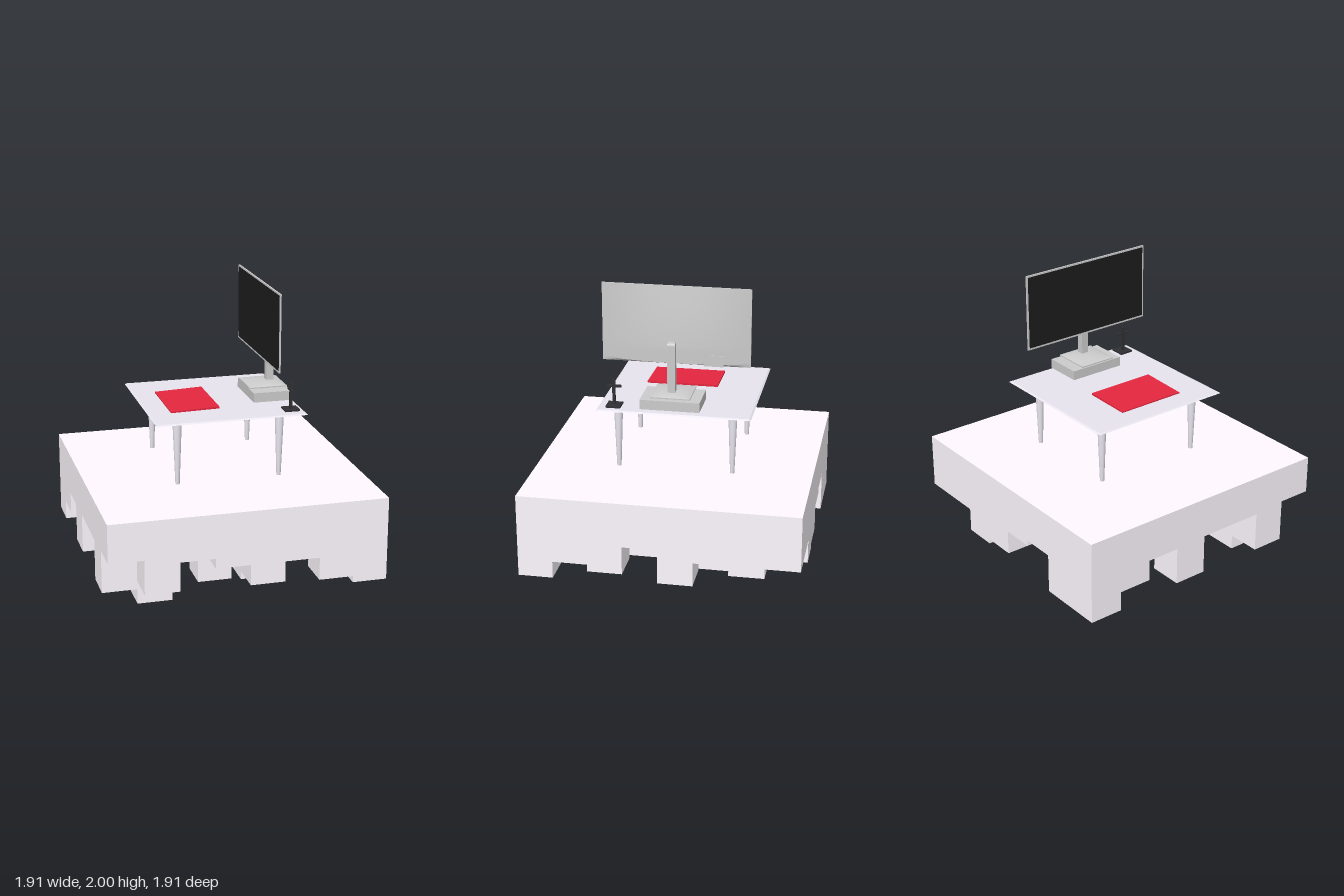
import * as THREE from 'three';
import { mergeVertices, toCreasedNormals } from 'three/addons/utils/BufferGeometryUtils.js';

const mat = (color) => new THREE.MeshStandardMaterial({ color });
const stoneMat = mat(0xfff9ff), tableMat = mat(0xe7e4ee), greyMat = mat(0xcccccc);
const redMat = mat(0xe4263e), screenMat = mat(0x1c1c1c), blackMat = mat(0x303034);

// Underside heights of the platform: one row per z, front to back, x left to right
const UNDERSIDE = [
  [.41, .165, .37, .30, .155, .30, .14, .095],
  [.105, 0, .38, .33, .097, .35, .25, .215],
  [.39, .30, .38, 0, .30, .34, .33, .165],
  [.39, .20, .38, .30, .10, .31, .19, .365],
  [.11, .35, .155, .08, .35, .36, .30, .12],
  [.38, .20, .30, .35, .20, .38, .13, .29],
  [.23, .30, .20, .25, .35, .05, .24, .22],
  [.09, .09, .37, .33, .155, .12, .29, .29],
];
const HALF = 0.957, CELL = HALF / 4, TOP = 0.68;

function add(parent, name, geometry, material, x = 0, y = 0, z = 0) {
  const mesh = new THREE.Mesh(geometry, material);
  mesh.name = name;
  mesh.position.set(x, y, z);
  parent.add(mesh);
  return mesh;
}

// Box given by its extents
function box(parent, name, material, x0, x1, y0, y1, z0, z1) {
  return add(parent, name, new THREE.BoxGeometry(x1 - x0, y1 - y0, z1 - z0), material,
    (x0 + x1) / 2, (y0 + y1) / 2, (z0 + z1) / 2);
}

// Platform skin: flat top, stepped blocks below, walls only where a step is exposed
function platformGeometry() {
  const pos = [];
  const quad = (a, b, c, d) => pos.push(...a, ...b, ...c, ...a, ...c, ...d);
  const h = (c, r) => UNDERSIDE[r]?.[c] ?? TOP;
  quad([-HALF, TOP, HALF], [HALF, TOP, HALF], [HALF, TOP, -HALF], [-HALF, TOP, -HALF]);
  for (let r = 0; r < 8; r++) {
    for (let c = 0; c < 8; c++) {
      const x0 = -HALF + c * CELL, x1 = x0 + CELL;
      const z1 = HALF - r * CELL, z0 = z1 - CELL, y = h(c, r);
      quad([x0, y, z0], [x1, y, z0], [x1, y, z1], [x0, y, z1]);
      const wall = (top, ax, az, bx, bz) => {
        if (top > y) quad([ax, y, az], [bx, y, bz], [bx, top, bz], [ax, top, az]);
      };
      wall(h(c, r - 1), x0, z1, x1, z1);
      wall(h(c + 1, r), x1, z1, x1, z0);
      wall(h(c, r + 1), x1, z0, x0, z0);
      wall(h(c - 1, r), x0, z0, x0, z1);
    }
  }
  const g = new THREE.BufferGeometry();
  g.setAttribute('position', new THREE.Float32BufferAttribute(pos, 3));
  g.computeVertexNormals();
  return g;
}

// Table top with a chamfered upper edge
function tableTopGeometry(width, height, depth, inset) {
  const g = new THREE.BoxGeometry(width, height, depth).toNonIndexed();
  const p = g.attributes.position;
  for (let i = 0; i < p.count; i++) {
    if (p.getY(i) < 0) continue;
    p.setX(i, p.getX(i) - Math.sign(p.getX(i)) * inset);
    p.setZ(i, p.getZ(i) - Math.sign(p.getZ(i)) * inset);
  }
  g.computeVertexNormals();
  return g;
}

// Tapered leg shaded smoothly over its ends
function legGeometry() {
  const g = new THREE.CylinderGeometry(.032, .015, .456, 24);
  g.deleteAttribute('normal');
  g.deleteAttribute('uv');
  const smooth = mergeVertices(g);
  smooth.computeVertexNormals();
  return smooth;
}

// Rear shell of the monitor: deepest low in the middle, with a sharp lower lip
function monitorBackGeometry(x, y0, y1, zc, width, depth) {
  const g = new THREE.PlaneGeometry(width, y1 - y0, 32, 32);
  g.rotateY(Math.PI / 2);
  g.translate(x, (y0 + y1) / 2, zc);
  const p = g.attributes.position;
  for (let i = 0; i < p.count; i++) {
    const across = Math.cos((p.getZ(i) - zc) / width * Math.PI);
    const t = (p.getY(i) - y0) / (y1 - y0);
    const up = t < 0.01 ? 0 : Math.min(1, 1.06 * Math.sin((1 - t) * Math.PI / 2));
    p.setX(i, x + depth * across * up);
  }
  return toCreasedNormals(g, 0.6);
}

// Gently domed upper side of the stand foot
function footDomeGeometry(width, depth, height) {
  const g = new THREE.PlaneGeometry(width, depth, 16, 16);
  g.rotateX(-Math.PI / 2);
  const p = g.attributes.position;
  const arch = (t) => Math.max(0, 1 - t * t) ** 0.7;
  for (let i = 0; i < p.count; i++)
    p.setY(i, height * arch(2 * p.getX(i) / width) * arch(2 * p.getZ(i) / depth));
  g.computeVertexNormals();
  return g;
}

function buildTable() {
  const table = new THREE.Group();
  table.name = 'table';
  add(table, 'tableTop', tableTopGeometry(1.055, .008, 1.054, .012), tableMat, .004, 1.159, -.027);
  for (const x of [-.356, .363])
    for (const z of [-.41, .38])
      add(table, 'tableLeg', legGeometry(), tableMat, x, .928, z);
  return table;
}

function buildMonitor() {
  const monitor = new THREE.Group();
  monitor.name = 'monitor';
  box(monitor, 'monitorFrame', greyMat, .324, .334, 1.458, 2, -.522, .488);
  box(monitor, 'screen', screenMat, .322, .325, 1.472, 1.988, -.51, .476);
  add(monitor, 'monitorBack', monitorBackGeometry(.334, 1.458, 2, -.017, 1.01, .046), greyMat);
  box(monitor, 'portHousing', greyMat, .335, .37, 1.463, 1.54, -.342, -.212);

  // Post with a rounded top corner
  const s = new THREE.Shape();
  s.moveTo(.375, 1.262);
  s.lineTo(.426, 1.262);
  s.lineTo(.426, 1.605);
  s.quadraticCurveTo(.426, 1.625, .407, 1.625);
  s.lineTo(.375, 1.625);
  const post = new THREE.ExtrudeGeometry(s, { depth: .052, bevelEnabled: false, curveSegments: 6 });
  add(monitor, 'standPost', post, greyMat, 0, 0, -.024);

  box(monitor, 'standFoot', greyMat, .222, .492, 1.257, 1.265, -.136, .136);
  add(monitor, 'standFootDome', footDomeGeometry(.27, .272, .019), greyMat, .357, 1.265, 0);
  box(monitor, 'riser', greyMat, .232, .503, 1.178, 1.245, -.204, .204);
  return monitor;
}

function buildBook() {
  // Thin wedge, thicker towards the middle of the table
  const s = new THREE.Shape();
  [[-.368, 1.166], [-.028, 1.173], [-.028, 1.187], [-.368, 1.174]]
    .forEach(([x, y], i) => (i ? s.lineTo(x, y) : s.moveTo(x, y)));
  const g = new THREE.ExtrudeGeometry(s, { depth: .5, bevelEnabled: false });
  g.translate(0, 0, -.244);
  const book = new THREE.Mesh(g, redMat);
  book.name = 'book';
  return book;
}

function buildCrossStand() {
  const stand = new THREE.Group();
  stand.name = 'crossStand';
  box(stand, 'crossBase', blackMat, .388, .492, 1.168, 1.18, .34, .441);
  box(stand, 'crossPost', blackMat, .431, .448, 1.18, 1.36, .382, .402);
  box(stand, 'crossBar', blackMat, .431, .448, 1.303, 1.317, .34, .441);
  return stand;
}

export function createModel() {
  const model = new THREE.Group();
  model.name = 'deskOnPlatform';
  add(model, 'platform', platformGeometry(), stoneMat);
  model.add(buildTable(), buildMonitor(), buildBook(), buildCrossStand());
  return model;
}
